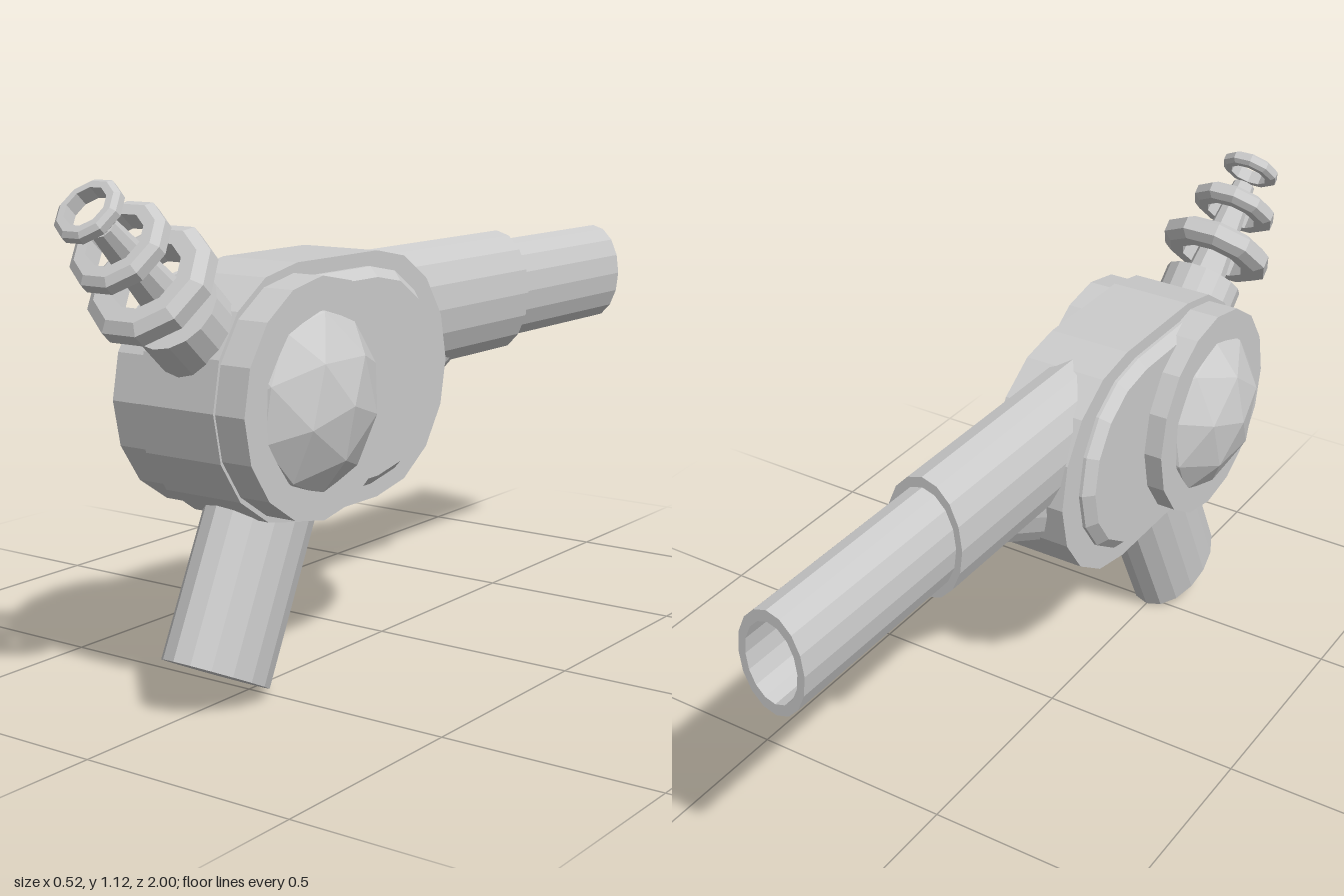
import * as THREE from 'three';

export function createModel() {
  const model = new THREE.Group();
  const material = new THREE.MeshStandardMaterial({ color: 0xcccccc, flatShading: true });

  const add = (name, geometry) => {
    const mesh = new THREE.Mesh(geometry, material);
    mesh.name = name;
    model.add(mesh);
    return mesh;
  };

  // Turn a y-axis part so it runs along (dz, dy), then place it at (z, y)
  const aim = (mesh, z, y, dz, dy) => {
    mesh.rotation.x = Math.atan2(dz, dy);
    mesh.position.set(0, y, z);
    return mesh;
  };

  // Elliptical rod between two [z, y] points; rx is its half width
  const rod = (name, a, b, rx, rA, rB = rA, sides = 16) => {
    const dz = b[0] - a[0], dy = b[1] - a[1];
    const g = new THREE.CylinderGeometry(rB, rA, Math.hypot(dz, dy), sides);
    g.scale(rx / rA, 1, 1);
    return aim(add(name, g), (a[0] + b[0]) / 2, (a[1] + b[1]) / 2, dz, dy);
  };

  // Stadium outline in the side plane, extruded across the width
  const slab = (name, zFront, zBack, y, r, halfWidth, bevel) => {
    const steps = 8, pts = [];
    for (let i = 0; i <= steps; i++) {
      const t = -Math.PI / 2 + (Math.PI * i) / steps;
      pts.push(new THREE.Vector2(-zBack + r * Math.cos(t), y + r * Math.sin(t)));
    }
    for (let i = 0; i <= steps; i++) {
      const t = Math.PI / 2 + (Math.PI * i) / steps;
      pts.push(new THREE.Vector2(-zFront + r * Math.cos(t), y + r * Math.sin(t)));
    }
    const depth = 2 * (halfWidth - bevel);
    const g = new THREE.ExtrudeGeometry(new THREE.Shape(pts), {
      depth, bevelEnabled: bevel > 0, bevelThickness: bevel, bevelSize: bevel,
      bevelOffset: -bevel, bevelSegments: 1,
    });
    g.translate(0, 0, -depth / 2);
    g.rotateY(Math.PI / 2);
    return add(name, g);
  };

  // Main housing and its raised side panels
  slab('body', 0.445, 0.16, 0.667, 0.277, 0.1, 0);
  slab('sidePanels', 0.42, 0.197, 0.67, 0.243, 0.13, 0.022);

  // Round drum with faceted domes on both sides
  const drum = new THREE.CylinderGeometry(0.258, 0.258, 0.35, 16);
  drum.rotateZ(Math.PI / 2);
  add('drum', drum).position.set(0, 0.665, 0.458);

  const pole = new THREE.Vector3(-1, (1 + Math.sqrt(5)) / 2, 0).normalize();
  for (const side of [1, -1]) {
    const g = new THREE.IcosahedronGeometry(1, 1);
    g.applyQuaternion(new THREE.Quaternion().setFromUnitVectors(pole, new THREE.Vector3(side, 0, 0)));
    g.scale(0.16, 0.222, 0.222);
    add(side > 0 ? 'leftDome' : 'rightDome', g).position.set(side * 0.098, 0.66, 0.46);
  }

  // Slanted grip
  rod('grip', [0.609, 0.078], [0.4, 0.512], 0.097, 0.149);

  // Rear sleeve with its brace underneath
  rod('sleeve', [0.1, 0.78], [-0.5, 0.78], 0.095, 0.15);
  rod('brace', [0.25, 0.5], [-0.22, 0.742], 0.06, 0.12);

  // Hollow rear tube
  const tubeProfile = [[0, 0], [0.125, 0], [0.125, 0.52], [0.098, 0.52], [0.098, 0.03], [0, 0.03]]
    .map(([x, y]) => new THREE.Vector2(x, y));
  const tube = new THREE.LatheGeometry(tubeProfile, 16);
  tube.scale(0.64, 1, 1);
  aim(add('rearTube', tube), -0.48, 0.78, -1, 0);

  // Front emitter: s is the distance along its rising axis
  const dir = [0.74, 0.673];
  const at = (s) => [0.78 + dir[0] * s, 0.925 + dir[1] * s];
  rod('emitterBase', at(-0.33), at(-0.085), 0.097, 0.097);
  rod('emitterSpindle', at(-0.1), at(0.185), 0.052, 0.052, 0.028, 10);

  // Ten-sided bevelled rings: [s, outer radius, inner radius, thickness]
  const rings = [[0, 0.14, 0.082, 0.062], [0.12, 0.107, 0.065, 0.046], [0.23, 0.073, 0.047, 0.032]];
  rings.forEach(([s, ro, ri, t], i) => {
    const rm = ri + (ro - ri) * 0.6;
    const profile = [[ri, -t / 2], [rm, -t / 2], [ro, -t / 4], [ro, t / 4], [rm, t / 2], [ri, t / 2], [ri, -t / 2]]
      .map(([x, y]) => new THREE.Vector2(x, y));
    const ring = add('emitterRing' + (i + 1), new THREE.LatheGeometry(profile, 10, Math.PI / 10));
    aim(ring, ...at(s), ...dir);
  });

  return model;
}
